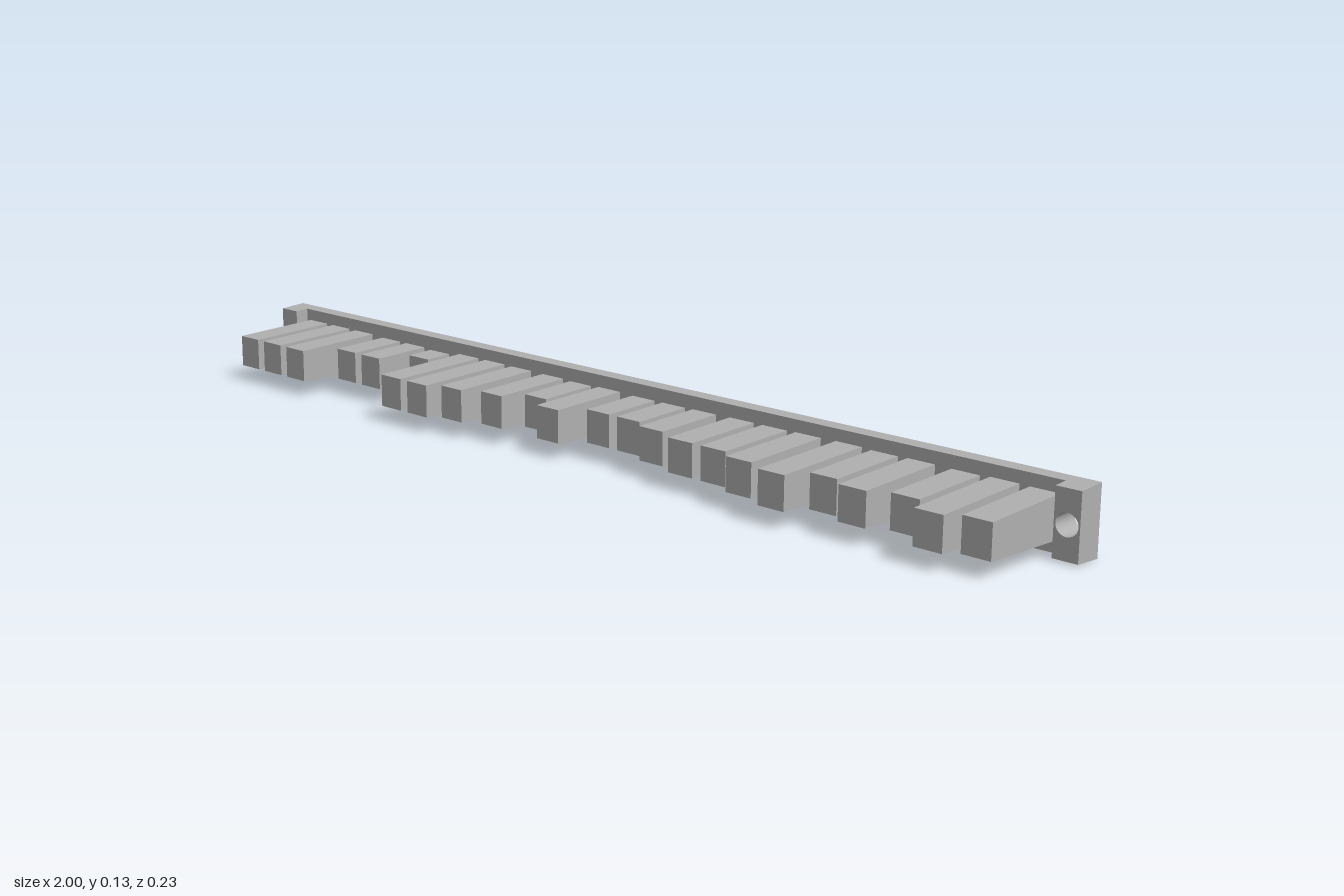
import * as THREE from 'three';

const BACK = -0.116, BAR_FRONT = -0.089, PAD_FRONT = -0.06, MID_Y = 0.063;
const HOLE_X = 0.976, HOLE_R = 0.021;

// Scale the height around the middle line, shrinking toward the front (mould draft)
function draft(geometry, halfBack, slope, zBack) {
  const p = geometry.attributes.position;
  for (let i = 0; i < p.count; i++) {
    const k = 1 - (slope * (p.getZ(i) - zBack)) / halfBack;
    p.setY(i, MID_Y + p.getY(i) * k);
  }
  geometry.computeVertexNormals();
  return geometry;
}

// Rectangle with round screw holes, extruded between two depths
function plate(x0, x1, halfHeight, z0, z1, holes) {
  const s = new THREE.Shape();
  s.moveTo(x0, -halfHeight);
  s.lineTo(x1, -halfHeight);
  s.lineTo(x1, halfHeight);
  s.lineTo(x0, halfHeight);
  s.closePath();
  for (const x of holes) {
    s.holes.push(new THREE.Path().absarc(x, 0, HOLE_R, 0, Math.PI * 2, true));
  }
  const g = new THREE.ExtrudeGeometry(s, { depth: z1 - z0, bevelEnabled: false, curveSegments: 16 });
  return g.translate(0, 0, z0);
}

export function createModel() {
  const group = new THREE.Group();
  const grey = new THREE.MeshStandardMaterial({ color: 0xb0b0b0 });
  grey.name = 'grey';
  const add = (name, geometry) => {
    const mesh = new THREE.Mesh(geometry, grey);
    mesh.name = name;
    group.add(mesh);
  };

  // Long backing bar and the raised mounting pads at its ends
  add('backBar', draft(plate(-1, 1, 0.063, BACK, BAR_FRONT, [-HOLE_X, HOLE_X]), 0.063, 0.06, BACK));
  for (const [name, side] of [['leftPad', 1], ['rightPad', -1]]) {
    const x0 = side > 0 ? 0.952 : -1;
    add(name, draft(plate(x0, x0 + 0.048, 0.063, BAR_FRONT, PAD_FRONT, [side * HOLE_X]), 0.063, 0.06, BACK));
  }

  // Teeth in groups of three; each number counts the steps cut from the longest
  const cuts = [1, 1, 1, 4, 4, 7, 0, 0, 1, 2, 4, 2, 4, 4, 3, 2, 2, 1, 0, 2, 1, 2, 0, 1];
  cuts.forEach((cut, i) => {
    const x = -0.837 + Math.floor(i / 3) * 0.2395 + ((i % 3) - 1) * 0.0755;
    const tip = 0.116 - cut * 0.0212;
    const length = tip - BAR_FRONT;
    const halfBase = 0.0315 + 0.037 * length;
    const g = new THREE.BoxGeometry(0.056, halfBase * 2, length);
    g.translate(x, 0, BAR_FRONT + length / 2);
    add('tooth' + (i + 1), draft(g, halfBase, 0.037, BAR_FRONT));
  });
  return group;
}
